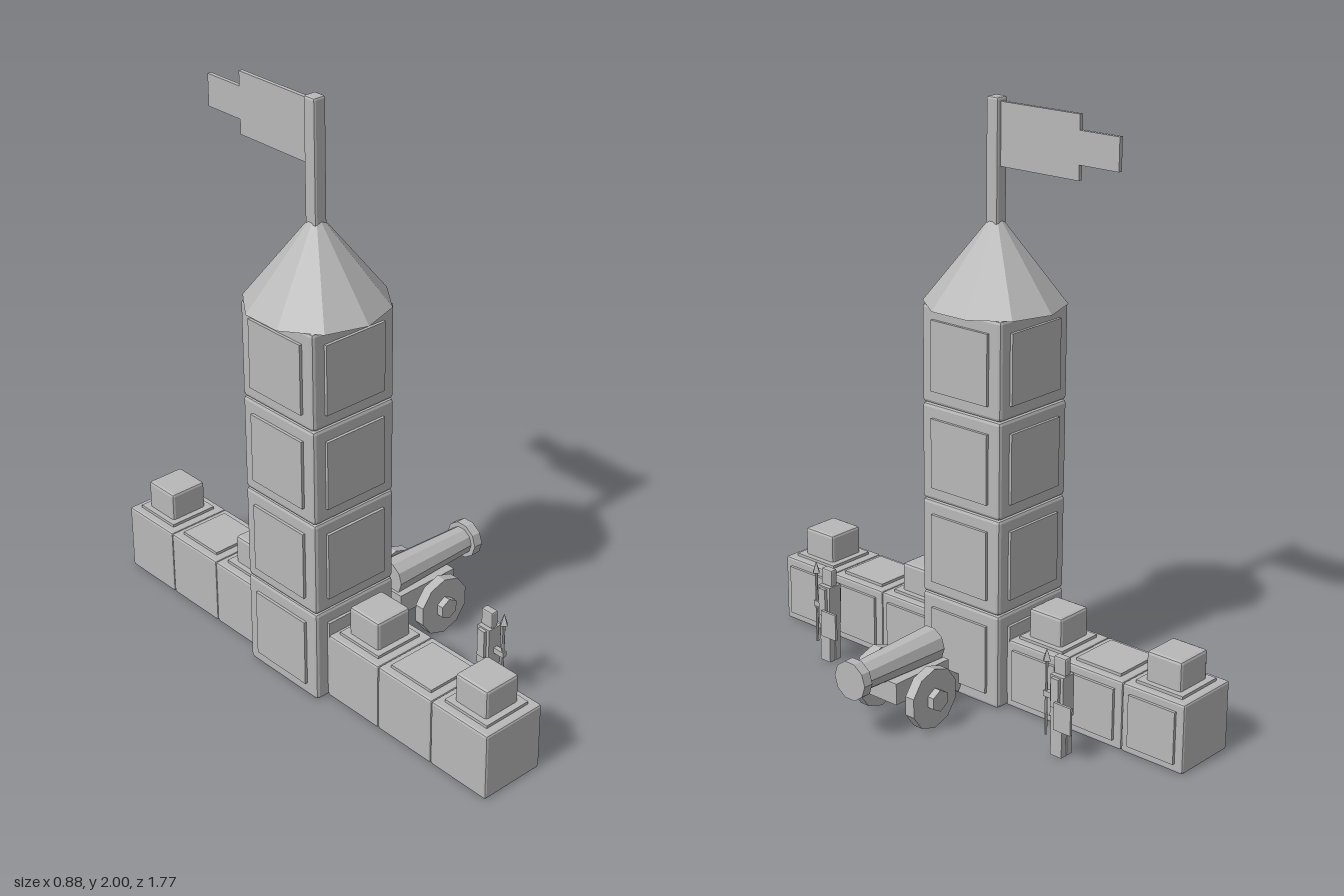
import * as THREE from 'three';
import { RoundedBoxGeometry } from 'three/addons/geometries/RoundedBoxGeometry.js';

const stone = new THREE.MeshStandardMaterial({ color: 0xb8b8b8, flatShading: true });
stone.name = 'stone grey';

function add(parent, name, geometry, x, y, z) {
  const mesh = new THREE.Mesh(geometry, stone);
  mesh.name = name;
  mesh.position.set(x, y, z);
  parent.add(mesh);
  return mesh;
}
function group(parent, name, x = 0, y = 0, z = 0) {
  const g = new THREE.Group();
  g.name = name;
  g.position.set(x, y, z);
  parent.add(g);
  return g;
}
const box = (w, h, d) => new THREE.BoxGeometry(w, h, d);
const block = (w, h, d, r = 0.012) => new RoundedBoxGeometry(w, h, d, 1, r);

// Four stacked blocks with raised panels, conical roof, pole and flag
function buildTower(parent) {
  const tower = group(parent, 'tower', -0.215);
  const h = 0.334, w = 0.335;
  for (let i = 0; i < 4; i++) {
    const y = (i + 0.5) * h;
    add(tower, 'towerBlock', block(w, h, w), 0, y, 0);
    add(tower, 'sidePanels', box(w + 0.02, 0.24, 0.24), 0, y, 0);
    add(tower, 'frontBackPanels', box(0.24, 0.24, w + 0.02), 0, y, 0);
  }
  add(tower, 'roof', new THREE.CylinderGeometry(0.02, 0.235, 0.275, 10), 0, 1.4725, 0);
  add(tower, 'flagPole', block(0.048, 0.41, 0.048, 0.008), 0, 1.795, 0);
  add(tower, 'flag', box(0.014, 0.205, 0.315), 0, 1.883, -0.18);
  add(tower, 'flagTail', box(0.014, 0.107, 0.16), 0, 1.883, -0.41);
}

// Low wall on both sides, with a merlon on every other block
function buildWall(parent) {
  const wall = group(parent, 'wall', -0.215);
  for (const side of [-1, 1]) {
    for (let i = 0; i < 3; i++) {
      const z = side * (0.285 + i * 0.24);
      add(wall, 'wallBlock', block(0.24, 0.24, 0.24, 0.008), 0, 0.12, z);
      add(wall, 'wallPanel', box(0.012, 0.18, 0.18), 0.124, 0.12, z);
      add(wall, 'topPanel', box(0.18, 0.012, 0.18), 0, 0.244, z);
      if (i !== 1) add(wall, 'merlon', block(0.14, 0.13, 0.135, 0.01), 0, 0.285, z);
    }
  }
}

// Cannon pointing along +x
function buildCannon(parent) {
  const cannon = group(parent, 'cannon', 0, 0, 0.033);
  const along = (r0, r1, len) => new THREE.CylinderGeometry(r1, r0, len, 10).rotateZ(-Math.PI / 2);
  add(cannon, 'barrel', along(0.062, 0.049, 0.36), 0.24, 0.216, 0);
  add(cannon, 'muzzleRing', along(0.067, 0.067, 0.035), 0.422, 0.216, 0);
  add(cannon, 'carriage', box(0.25, 0.075, 0.142), 0.175, 0.14, 0);
  const trail = add(cannon, 'trail', box(0.2, 0.055, 0.07), 0.03, 0.094, 0);
  trail.rotation.z = 0.6;
  for (const side of [-1, 1]) {
    const disc = (r, t, n) => new THREE.CylinderGeometry(r, r, t, n).rotateX(Math.PI / 2);
    add(cannon, 'wheel', disc(0.105, 0.036, 10), 0.19, 0.108, side * 0.12);
    add(cannon, 'hub', disc(0.038, 0.025, 6), 0.19, 0.108, side * 0.15);
  }
}

// Small guard with spear and shield
function buildGuard(parent, z) {
  const guard = group(parent, 'guard', 0.046, 0, z);
  for (const side of [-1, 1]) {
    add(guard, 'leg', box(0.024, 0.14, 0.045), side * 0.014, 0.07, 0);
    add(guard, 'arm', box(0.012, 0.1, 0.03), side * 0.033, 0.225, 0);
  }
  add(guard, 'torso', box(0.054, 0.145, 0.052), 0, 0.208, 0);
  add(guard, 'head', block(0.028, 0.06, 0.048, 0.005), 0, 0.31, 0);
  add(guard, 'spearArm', box(0.016, 0.02, 0.065), 0.004, 0.195, 0.035);
  add(guard, 'spearShaft', new THREE.CylinderGeometry(0.005, 0.005, 0.26, 6), 0.004, 0.18, 0.06);
  add(guard, 'spearTip', new THREE.ConeGeometry(0.016, 0.042, 4), 0.004, 0.33, 0.06);
  add(guard, 'shieldArm', box(0.02, 0.02, 0.03), 0.038, 0.155, -0.02);
  add(guard, 'shield', box(0.009, 0.095, 0.068), 0.045, 0.153, -0.041);
}

export function createModel() {
  const model = new THREE.Group();
  model.name = 'castle';
  buildTower(model);
  buildWall(model);
  buildCannon(model);
  for (const z of [0.52, -0.515]) buildGuard(model, z);
  return model;
}
